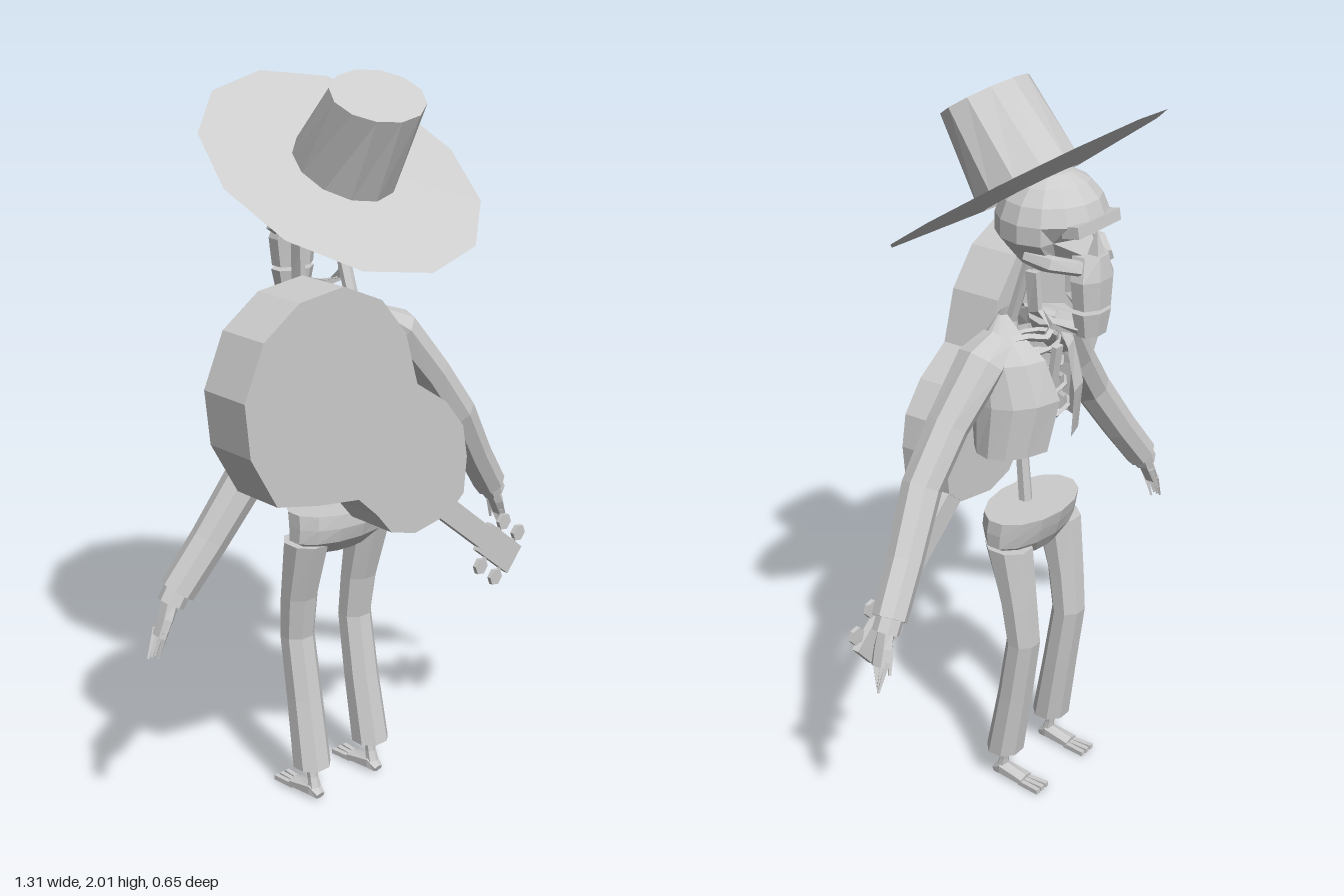
import * as THREE from 'three';

const V = (x, y, z) => new THREE.Vector3(x, y, z);
const grey = new THREE.MeshStandardMaterial({ color: 0xcccccc, flatShading: true, side: THREE.DoubleSide });
grey.name = 'plain grey';

function add(parent, name, geo, pos = [0, 0, 0], rot = [0, 0, 0]) {
  const m = new THREE.Mesh(geo, grey);
  m.name = name;
  m.position.set(...pos);
  m.rotation.set(...rot);
  parent.add(m);
  return m;
}

// Loft of elliptical rings; each section is [x, y, z, radiusU, radiusV, gapAngle]
function loft(sections, { sides = 8, ref = V(0, 0, 1), level = false, open = false, caps = true, phase = 0 } = {}) {
  const pos = [], idx = [], n = open ? sides + 1 : sides;
  const c = sections.map(s => V(s[0], s[1], s[2]));
  sections.forEach((s, i) => {
    const t = level ? V(0, 1, 0)
      : c[Math.min(i + 1, c.length - 1)].clone().sub(c[Math.max(i - 1, 0)]).normalize();
    const u = ref.clone().cross(t).normalize(), v = t.clone().cross(u), gap = s[5] || 0;
    for (let j = 0; j < n; j++) {
      const a = -Math.PI / 2 + phase + gap + (j / sides) * (Math.PI * 2 - 2 * gap);
      const p = c[i].clone().addScaledVector(u, s[3] * Math.cos(a)).addScaledVector(v, s[4] * Math.sin(a));
      pos.push(p.x, p.y, p.z);
    }
  });
  for (let i = 0; i < sections.length - 1; i++)
    for (let j = 0; j < sides; j++) {
      const k = (j + 1) % n, a = i * n + j, b = i * n + k;
      idx.push(a, b, b + n, a, b + n, a + n);
    }
  if (caps && !open)
    [0, sections.length - 1].forEach((i, end) => {
      const m = pos.length / 3;
      pos.push(c[i].x, c[i].y, c[i].z);
      for (let j = 0; j < n; j++) {
        const a = i * n + j, b = i * n + (j + 1) % n;
        idx.push(m, ...(end ? [a, b] : [b, a]));
      }
    });
  const g = new THREE.BufferGeometry();
  g.setAttribute('position', new THREE.Float32BufferAttribute(pos, 3));
  g.setIndex(idx);
  g.computeVertexNormals();
  return g;
}

function makeHat() {
  const hat = new THREE.Group();
  hat.name = 'hat';
  hat.position.set(0, 1.756, 0);
  hat.rotation.x = 0.576;
  add(hat, 'hatCrown', loft([[0, 0, 0, 0.146, 0.14], [0, 0.233, 0, 0.146, 0.1]],
    { sides: 12, caps: false, level: true }));
  add(hat, 'hatTop', new THREE.CircleGeometry(1, 12), [0, 0.233, 0], [-Math.PI / 2, 0, 0]).scale.set(0.146, 0.1, 1);
  // brim thins to a sharp edge
  const brim = [[0.13, -0.022], [0.387, 0], [0.14, 0.012]].map(p => new THREE.Vector2(...p));
  add(hat, 'hatBrim', new THREE.LatheGeometry(brim, 12));
  return hat;
}

function makeHead() {
  const head = new THREE.Group();
  head.name = 'head';
  // cranium, narrowed below and hollowed at the eyes
  const g = new THREE.SphereGeometry(1, 14, 9), p = g.attributes.position, v = V();
  for (let i = 0; i < p.count; i++) {
    v.fromBufferAttribute(p, i);
    v.set(v.x * 0.15, v.y * 0.135, v.z * 0.142);
    if (v.y < -0.03) v.x *= 0.8;
    if (v.z < -0.07 && Math.abs(v.x) > 0.025 && v.y < 0.0 && v.y > -0.09) v.z += 0.04;
    p.setXYZ(i, v.x, v.y, v.z);
  }
  g.computeVertexNormals();
  add(head, 'cranium', g, [0, 1.672, -0.078]);
  add(head, 'browRidge', new THREE.BoxGeometry(0.18, 0.03, 0.05), [0, 1.685, -0.195], [0.15, 0, 0]);
  add(head, 'upperJaw', loft([[0, 1.475, -0.2, 0.062, 0.045], [0, 1.55, -0.2, 0.072, 0.048],
    [0, 1.61, -0.19, 0.05, 0.05]], { level: true, phase: Math.PI / 8 }));
  add(head, 'noseBridge', new THREE.ConeGeometry(0.035, 0.1, 4), [0, 1.625, -0.212], [0, Math.PI / 4, 0]);
  add(head, 'chin', loft([[0, 1.4, -0.2, 0.05, 0.035], [0, 1.465, -0.2, 0.065, 0.045]],
    { level: true, phase: Math.PI / 8 }));
  for (const s of [-1, 1]) {
    add(head, 'cheekbone', loft([[s * 0.055, 1.585, -0.205, 0.02, 0.02], [s * 0.105, 1.6, -0.15, 0.022, 0.022],
      [s * 0.115, 1.61, -0.08, 0.015, 0.015]], { sides: 5, ref: V(0, 1, 0) }));
    add(head, 'jawBranch', loft([[s * 0.085, 1.56, -0.08, 0.012, 0.024], [s * 0.08, 1.455, -0.085, 0.012, 0.025],
      [s * 0.065, 1.425, -0.13, 0.012, 0.022], [s * 0.04, 1.42, -0.19, 0.012, 0.02]],
      { sides: 4, ref: V(0, 0.3, 1), phase: Math.PI / 4 }));
  }
  return head;
}

function makeTorso() {
  const torso = new THREE.Group();
  torso.name = 'torso';
  add(torso, 'spine', loft([[0, 0.8, 0, 0.02, 0.02], [0, 1.05, 0.02, 0.018, 0.018], [0, 1.37, 0.05, 0.02, 0.016],
    [0, 1.57, -0.015, 0.02, 0.013]], { sides: 6 }));
  // short jacket, open at the chest
  add(torso, 'jacket', loft([[0, 1.055, 0.0, 0.18, 0.11, 0.3], [0, 1.2, -0.003, 0.178, 0.128, 0.18],
    [0, 1.31, 0.01, 0.165, 0.11, 0.3], [0, 1.375, 0.015, 0.125, 0.06, 0.6], [0, 1.4, 0.05, 0.05, 0.02, 0.8]],
    { sides: 14, level: true, open: true }));
  add(torso, 'breastbone', new THREE.BoxGeometry(0.03, 0.17, 0.015), [0, 1.25, -0.085], [-0.15, 0, 0]);
  for (let i = 0; i < 4; i++)
    add(torso, 'rib', new THREE.TorusGeometry(1, 0.08, 4, 12), [0, 1.14 + i * 0.06, -0.01],
      [Math.PI / 2, 0, 0]).scale.set(0.12 - i * 0.008, 0.088 - i * 0.008, 0.1);
  for (const s of [-1, 1])
    add(torso, 'collarbone', loft([[0, 1.345, -0.06, 0.01, 0.01], [s * 0.06, 1.365, -0.045, 0.01, 0.01],
      [s * 0.13, 1.36, 0, 0.01, 0.01]], { sides: 4 }));
  return torso;
}

function makeArm(s) {
  const arm = new THREE.Group();
  arm.name = s > 0 ? 'leftArm' : 'rightArm';
  add(arm, 'sleeve', loft([[s * 0.1, 1.36, 0.02, 0.03, 0.05], [s * 0.16, 1.315, 0.025, 0.058, 0.07],
    [s * 0.275, 1.175, 0.045, 0.054, 0.058], [s * 0.375, 1.04, 0.052, 0.054, 0.053],
    [s * 0.48, 0.885, 0.025, 0.05, 0.048], [s * 0.57, 0.765, 0.005, 0.048, 0.046]]));
  add(arm, 'cuff', loft([[s * 0.565, 0.775, 0.005, 0.036, 0.036], [s * 0.59, 0.735, 0.003, 0.036, 0.036]]));
  add(arm, 'palm', loft([[s * 0.585, 0.745, 0.002, 0.022, 0.022], [s * 0.605, 0.7, 0, 0.018, 0.028],
    [s * 0.625, 0.655, -0.003, 0.013, 0.026]], { sides: 6 }));
  for (let i = 0; i < 4; i++)
    add(arm, 'finger', loft([[s * 0.618, 0.67, -0.025 + i * 0.014, 0.01, 0.007],
      [s * (0.65 - i * 0.006), 0.595 + (i % 3) * 0.005, -0.018 + i * 0.006, 0.004, 0.004]], { sides: 4 }));
  add(arm, 'thumb', loft([[s * 0.595, 0.705, -0.02, 0.009, 0.009], [s * 0.618, 0.635, -0.03, 0.005, 0.005]], { sides: 4 }));
  return arm;
}

function makeLeg(s) {
  const leg = new THREE.Group(), x = -0.01;
  leg.name = s > 0 ? 'leftLeg' : 'rightLeg';
  add(leg, 'trouserLeg', loft([[x + s * 0.111, 0.1, 0.002, 0.055, 0.053], [x + s * 0.107, 0.3, -0.032, 0.052, 0.048],
    [x + s * 0.107, 0.48, -0.06, 0.05, 0.046], [x + s * 0.11, 0.6, -0.047, 0.054, 0.05],
    [x + s * 0.112, 0.77, -0.015, 0.06, 0.068]], { level: true, phase: Math.PI / 8 }));
  const fx = x + s * 0.111;
  add(leg, 'shin', loft([[fx, 0.03, 0.012, 0.019, 0.017], [fx, 0.06, 0.005, 0.016, 0.013], [fx, 0.14, -0.008, 0.019, 0.016]], { sides: 6 }));
  add(leg, 'foot', loft([[fx, 0.012, 0.036, 0.016, 0.012], [fx, 0.024, 0.01, 0.024, 0.024],
    [fx, 0.015, -0.07, 0.028, 0.015]], { sides: 6, ref: V(0, 1, 0) }).translate(0, 0, 0));
  for (let i = -1; i <= 1; i++)
    add(leg, 'toe', new THREE.BoxGeometry(0.014, 0.014, 0.07), [fx + i * 0.018, 0.01, -0.095], [0, -i * 0.08, 0]);
  return leg;
}

function makeGuitar() {
  const guitar = new THREE.Group();
  guitar.name = 'guitar';
  const outline = [[-0.39, 1.53], [-0.25, 1.545], [-0.125, 1.49], [-0.042, 1.39], [0, 1.25], [0.105, 1.18],
    [0.17, 1.1], [0.187, 1.01], [0.178, 0.91], [0.125, 0.865], [0, 0.845], [-0.085, 0.87], [-0.135, 0.93],
    [-0.2, 0.99], [-0.335, 1.01], [-0.465, 1.04], [-0.545, 1.18], [-0.56, 1.32], [-0.5, 1.455]];
  const shape = new THREE.Shape(outline.map(p => new THREE.Vector2(...p)).reverse());
  add(guitar, 'guitarBody', new THREE.ExtrudeGeometry(shape, { depth: 0.15, bevelEnabled: false }), [0, 0, 0.125]);
  // neck, head and tuning pegs share one slanted frame
  const neck = new THREE.Group();
  neck.name = 'guitarNeck';
  neck.position.set(0.13, 0.905, 0.14);
  neck.rotation.z = -0.69;
  guitar.add(neck);
  add(neck, 'fretboard', new THREE.BoxGeometry(0.42, 0.066, 0.024), [0.16, 0, 0]);
  add(neck, 'headstock', new THREE.BoxGeometry(0.165, 0.088, 0.02), [0.435, 0, 0]);
  for (const px of [0.405, 0.485])
    for (const s of [-1, 1]) {
      add(neck, 'tuningPeg', new THREE.CylinderGeometry(0.025, 0.025, 0.012, 6), [px, s * 0.072, 0], [Math.PI / 2, 0, 0]);
      add(neck, 'pegShaft', new THREE.BoxGeometry(0.01, 0.04, 0.008), [px, s * 0.05, 0]);
    }
  return guitar;
}

export function createModel() {
  const model = new THREE.Group();
  model.name = 'skeletonMusician';
  model.add(makeHat(), makeHead(), makeTorso(), makeGuitar());
  for (const s of [-1, 1]) model.add(makeArm(s), makeLeg(s));
  add(model, 'trouserSeat', loft([[-0.008, 0.735, -0.012, 0.1, 0.05], [-0.008, 0.78, -0.005, 0.168, 0.085],
    [-0.006, 0.82, -0.006, 0.168, 0.098], [-0.006, 0.858, -0.012, 0.165, 0.102]], { sides: 14, level: true }));
  return model;
}
